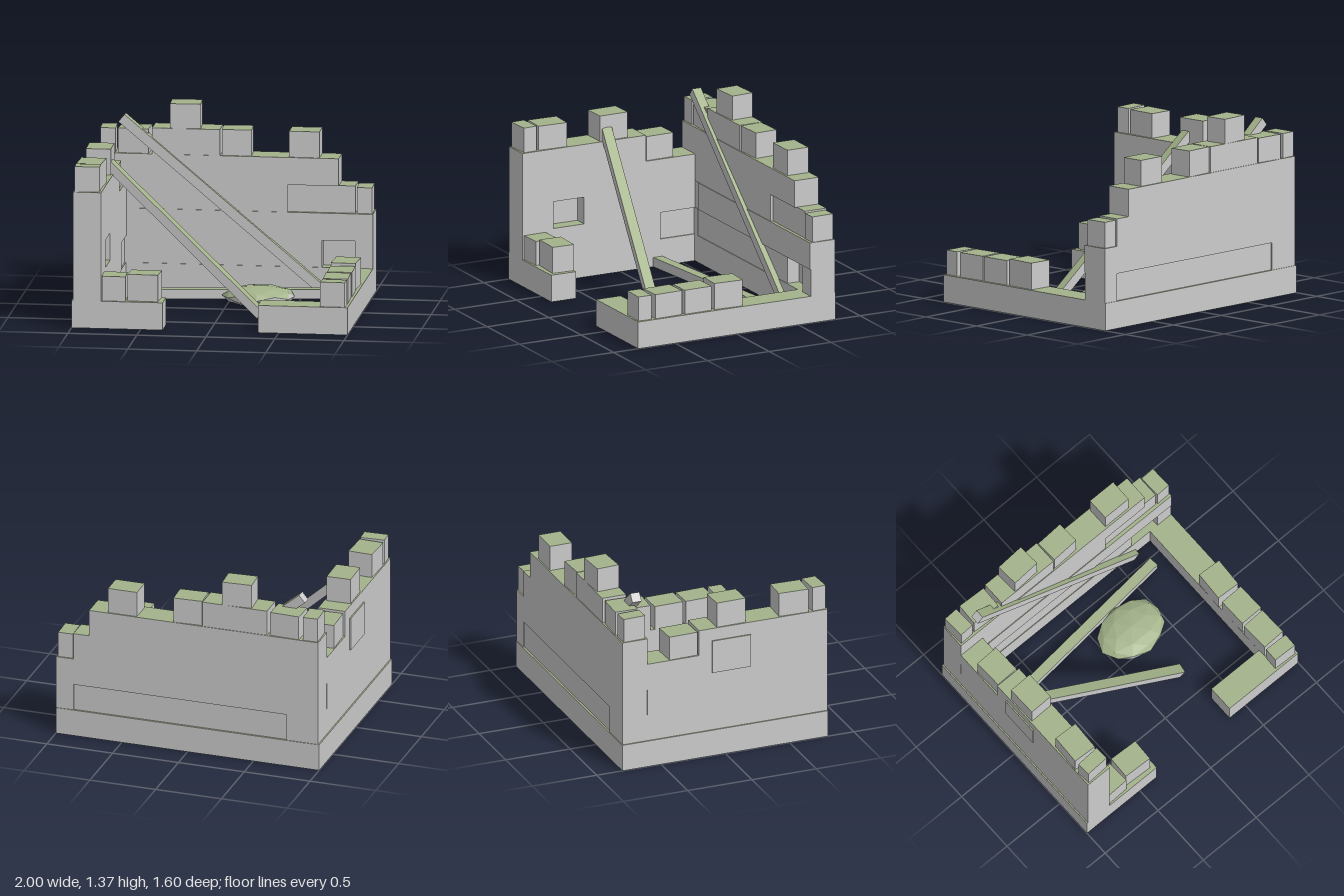
import * as THREE from 'three';

const grey = new THREE.MeshStandardMaterial({ color: 0xcccccc, flatShading: true });
const moss = new THREE.MeshStandardMaterial({ color: 0xa3b38a, flatShading: true });
const mossTopped = [grey, grey, moss, grey, grey, grey];

export function createModel() {
  const model = new THREE.Group();

  // Stone given by its extents on each axis, optionally turned a little about y
  function stone(parent, name, [x0, x1], [y0, y1], [z0, z1], turn = 0) {
    const mesh = new THREE.Mesh(new THREE.BoxGeometry(x1 - x0, y1 - y0, z1 - z0), mossTopped);
    mesh.position.set((x0 + x1) / 2, (y0 + y1) / 2, (z0 + z1) / 2);
    mesh.rotation.y = turn;
    mesh.name = name;
    parent.add(mesh);
    return mesh;
  }
  function group(name) {
    const g = new THREE.Group();
    g.name = name;
    model.add(g);
    return g;
  }

  // Foundation ring with a doorway gap in the front
  const foundation = group('foundation');
  stone(foundation, 'backFoundation', [-1, 1], [0, 0.2], [-0.8, -0.6]);
  stone(foundation, 'rightFoundation', [-1, -0.79], [0, 0.2], [-0.6, 0.8]);
  stone(foundation, 'leftFoundation', [0.8, 1], [0, 0.2], [-0.6, 0.8]);
  stone(foundation, 'frontRightFoundation', [-0.79, -0.34], [0, 0.2], [0.6, 0.8]);
  stone(foundation, 'frontLeftFoundation', [0.35, 0.8], [0, 0.2], [0.6, 0.8]);

  // Back wall courses, stepping down towards +x
  const backWall = group('backWall');
  const backZ = [-0.795, -0.6];
  [
    [-0.99, 0.63, 0.2, 0.4, -0.785, -0.605],
    [0.63, 0.87, 0.2, 0.4, -0.785, -0.7],
    [0.87, 1, 0.2, 0.4, ...backZ],
    [-0.99, -0.75, 0.2, 0.4, ...backZ],
    [-0.99, -0.73, 0.4, 0.6, -0.795, -0.605],
    [-0.73, 1, 0.4, 0.6, -0.795, -0.595],
    [-0.99, 0.38, 0.6, 0.8, ...backZ],
    [0.38, 0.87, 0.6, 0.8, -0.795, -0.62],
    [-0.99, 0.75, 0.8, 1, ...backZ],
    [-0.6, -0.11, 1, 1.19, -0.79, -0.605],
  ].forEach(([a, b, c, d, e, f]) => stone(backWall, 'backCourse', [a, b], [c, d], [e, f]));

  // Loose stones on the back wall: x range, y range, turn
  [
    [-0.98, -0.87, 1, 1.18, 0.04],
    [-0.845, -0.625, 1, 1.18, -0.04],
    [-0.475, -0.255, 1.19, 1.37, 0.06],
    [-0.1, 0.115, 1, 1.19, 0.05],
    [0.39, 0.61, 1, 1.19, 0],
    [0.88, 0.99, 0.6, 0.79, 0.03],
  ].forEach(([a, b, c, d, t]) => stone(backWall, 'backBattlement', [a, b], [c, d], [-0.785, -0.615], t));

  // Tall side wall with a shallow inner niche
  const tallWall = group('tallSideWall');
  const tallX = [-0.99, -0.785];
  [
    [0.2, 0.4, -0.32, 0.8],
    [0.4, 0.6, -0.6, 0.3],
    [0.4, 0.6, 0.55, 0.8],
    [0.6, 0.8, -0.6, 0.8],
    [0.8, 0.995, -0.2, 0.8],
  ].forEach(([a, b, c, d]) => stone(tallWall, 'tallCourse', tallX, [a, b], [c, d]));
  stone(tallWall, 'tallCourse', [-0.99, -0.8], [0.2, 0.4], [-0.6, -0.32]);
  stone(tallWall, 'nicheBack', [-0.99, -0.89], [0.4, 0.6], [0.3, 0.55]);
  stone(tallWall, 'outerSlab', [-1, -0.94], [0.65, 0.9], [-0.1, 0.2]);
  [
    [0.995, 1.18, 0.68, 0.785, 0.05],
    [0.995, 1.175, 0.43, 0.655, -0.04],
    [0.995, 1.185, -0.06, 0.165, 0.02],
    [0.8, 0.98, -0.43, -0.21, 0.03],
  ].forEach(([a, b, c, d, t]) => stone(tallWall, 'tallBattlement', [-0.98, -0.8], [a, b], [c, d], t));

  // Single row of stones on the low side wall
  const lowWall = group('lowSideWall');
  [
    [0.68, 0.785, 0.38, -0.03],
    [0.435, 0.655, 0.38, 0.04],
    [0.195, 0.415, 0.38, 0.02],
    [-0.06, 0.165, 0.395, -0.05],
  ].forEach(([c, d, top, t]) => stone(lowWall, 'lowStone', [0.8, 0.98], [0.2, top], [c, d], t));

  // Stones on the front stub beside the doorway
  const frontWall = group('frontWall');
  stone(frontWall, 'frontStone', [-0.785, -0.615], [0.2, 0.38], [0.61, 0.785], 0.04);
  stone(frontWall, 'frontStone', [-0.595, -0.375], [0.2, 0.395], [0.595, 0.765], -0.04);

  // Square timber running between two points
  function beam(name, from, to, width, thick) {
    const a = new THREE.Vector3(...from), b = new THREE.Vector3(...to);
    const x = b.clone().sub(a), length = x.length();
    x.normalize();
    const z = new THREE.Vector3().crossVectors(x, new THREE.Vector3(0, 1, 0)).normalize();
    const y = new THREE.Vector3().crossVectors(z, x);
    const mesh = new THREE.Mesh(new THREE.BoxGeometry(length, thick, width), mossTopped);
    mesh.quaternion.setFromRotationMatrix(new THREE.Matrix4().makeBasis(x, y, z));
    mesh.position.copy(a).add(b).multiplyScalar(0.5);
    mesh.name = name;
    model.add(mesh);
  }
  beam('backLeaningBeam', [-0.82, 1.26, -0.62], [0.64, 0.04, -0.592], 0.07, 0.07);
  beam('sideLeaningBeam', [-0.82, 1.07, 0.105], [0.31, 0.03, 0.3], 0.075, 0.065);
  beam('fallenBeam', [-0.8, 0.035, -0.3], [0.7, 0.045, -0.44], 0.075, 0.07);

  // Flattened boulder with a slightly uneven, faceted surface
  const rockGeo = new THREE.IcosahedronGeometry(1, 1);
  const p = rockGeo.attributes.position;
  for (let i = 0; i < p.count; i++) {
    const x = p.getX(i), y = p.getY(i), z = p.getZ(i);
    const k = 1 + 0.05 * Math.sin(5 * x + 3 * z) * Math.cos(4 * y);
    p.setXYZ(i, x * k * 0.265, y * 0.075, z * k * 0.21);
  }
  rockGeo.computeVertexNormals();
  // Moss on facets that face upwards
  const n = rockGeo.attributes.normal;
  for (let i = 0; i < p.count; i += 3) rockGeo.addGroup(i, 3, n.getY(i) > 0.5 ? 1 : 0);
  const rock = new THREE.Mesh(rockGeo, [grey, moss]);
  rock.position.set(0.24, 0.075, -0.15);
  rock.name = 'boulder';
  model.add(rock);

  return model;
}
